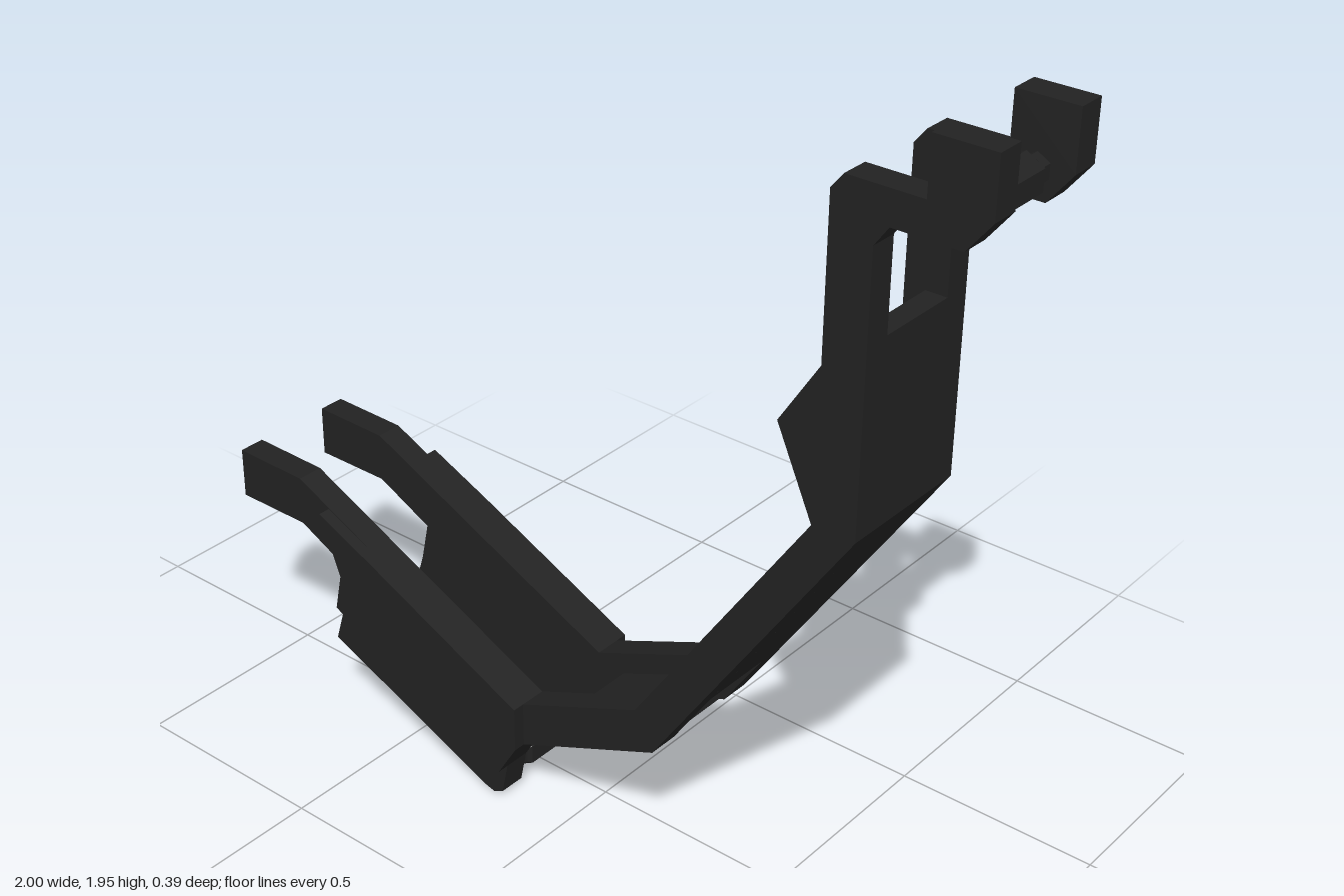
import * as THREE from 'three';

const mat = new THREE.MeshStandardMaterial({ color: 0x222222, flatShading: true });

// Extrude an xy outline between two depths
function slab(name, pts, z0, z1) {
  const shape = new THREE.Shape(pts.map(([x, y]) => new THREE.Vector2(x, y)));
  const geo = new THREE.ExtrudeGeometry(shape, { depth: z1 - z0, bevelEnabled: false });
  geo.translate(0, 0, z0);
  const mesh = new THREE.Mesh(geo, mat);
  mesh.name = name;
  return mesh;
}

// Six-sided pin with a thicker, chamfered roller in its middle
function roller(name, x, y) {
  const profile = [[0, -0.11], [0.032, -0.11], [0.032, -0.07], [0.039, -0.07], [0.047, -0.06],
    [0.047, 0.06], [0.039, 0.07], [0.032, 0.07], [0.032, 0.11], [0, 0.11]];
  const geo = new THREE.LatheGeometry(profile.map(([r, h]) => new THREE.Vector2(r, h)), 6);
  geo.rotateX(Math.PI / 2);
  const mesh = new THREE.Mesh(geo, mat);
  mesh.name = name;
  mesh.position.set(x, y, 0);
  return mesh;
}

export function createModel() {
  const model = new THREE.Group();
  model.name = 'bentArm';

  // Side rail: forked foot, lower lip, bent arm and top hook in one outline
  const rail = [
    [-1, 0.5], [-0.8, 0.5], [-0.65, 0.425], [-0.67, 0.33], [-0.705, 0.215],
    [-0.225, 0.008], [-0.2, 0.002], [-0.175, 0.015], [-0.158, 0.097], [-0.105, 0.185],
    [0.27, 0.345], [0.758, 1.08], [0.758, 1.705], [0.79, 1.75], [0.945, 1.75],
    [1, 1.82], [1, 1.95], [0.862, 1.95], [0.862, 1.825], [0.688, 1.825],
    [0.66, 1.79], [0.66, 1.43], [0.565, 1.28], [0.655, 1.08], [0.22, 0.435],
    [-0.105, 0.297], [-0.54, 0.5], [-0.8, 0.622], [-1, 0.625],
  ];
  // Thicker cheek on the outside of each foot
  const cheek = [
    [-0.67, 0.33], [-0.158, 0.097], [-0.105, 0.185], [-0.105, 0.297],
    [-0.54, 0.5], [-0.708, 0.575], [-0.65, 0.425],
  ];
  for (const [side, s] of [['left', 1], ['right', -1]]) {
    const span = (a, b) => (s > 0 ? [a, b] : [-b, -a]);
    model.add(slab(side + 'Rail', rail, ...span(0.1, 0.165)));
    model.add(slab(side + 'Cheek', cheek, ...span(0.165, 0.195)));
  }

  // Web joining the rails along the outer edge of the arm
  const inner = [[0.758, 1.08], [0.758, 1.5], [0.708, 1.5], [0.708, 1.095], [0.243, 0.391], [-0.03, 0.272]];
  const plain = [[-0.03, 0.217], [0.27, 0.345], ...inner];
  const notched = [[-0.03, 0.217], [0.255, 0.339], [0.253, 0.357], [0.35, 0.502], [0.367, 0.491], ...inner];
  model.add(slab('web', notched, -0.09, 0.09));
  model.add(slab('webEdgeLeft', plain, 0.09, 0.1));
  model.add(slab('webEdgeRight', plain, -0.1, -0.09));

  // Cross rollers
  model.add(roller('lowerRoller', -0.215, 0.06));
  model.add(roller('upperRoller', 0.92, 1.812));
  // Turn the hexagons so that a corner points up
  for (const m of model.children) if (m.name.endsWith('Roller')) {
    m.geometry.computeBoundingBox();
    const b = m.geometry.boundingBox;
    if (b.max.x > b.max.y) m.rotation.z = Math.PI / 6;
  }
  return model;
}
